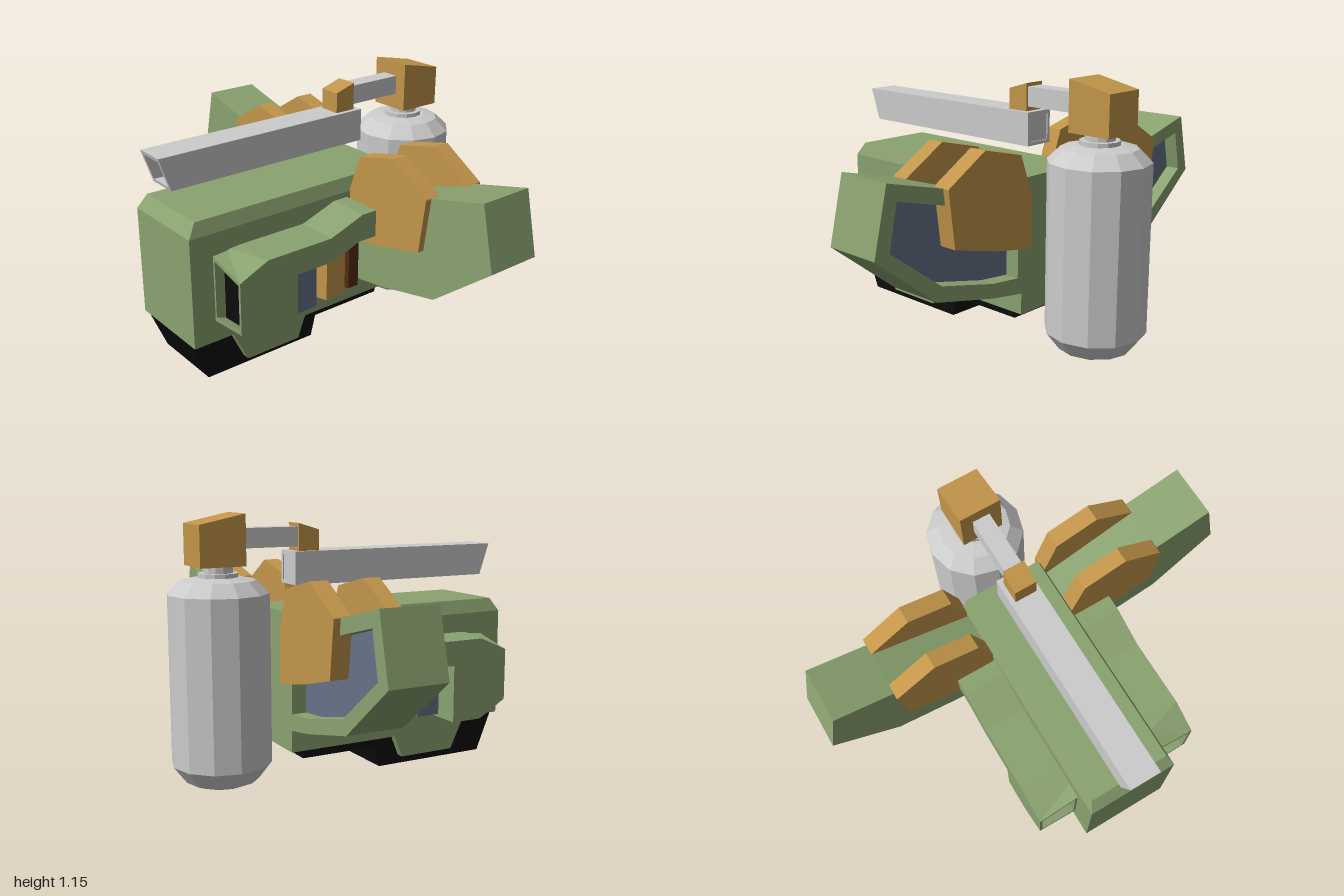
import * as THREE from 'three';

const mat = (color) => new THREE.MeshStandardMaterial({ color, flatShading: true });
const green = mat(0x8aa270), orange = mat(0xc2954a), blue = mat(0x667288);
const brown = mat(0x522c14), black = mat(0x0c0c0c), grey = mat(0xcccccc);

const points = (pts) => pts.map(([a, b]) => new THREE.Vector2(a, b));

// Extrude an (x, y) outline from z0 to z1, with an optional hole
function extrudeZ(pts, z0, z1, hole) {
  const shape = new THREE.Shape(points(pts));
  if (hole) shape.holes.push(new THREE.Path(points(hole)));
  return new THREE.ExtrudeGeometry(shape, { depth: z1 - z0, bevelEnabled: false }).translate(0, 0, z0);
}

// Extrude a (z, y) side outline from x0 to x1
const extrudeX = (pts, x0, x1) => extrudeZ(pts, 0, x1 - x0).rotateY(-Math.PI / 2).translate(x1, 0, 0);

// Move every vertex by a rule
function reshape(geo, rule) {
  const p = geo.attributes.position, v = new THREE.Vector3();
  for (let i = 0; i < p.count; i++) {
    rule(v.fromBufferAttribute(p, i));
    p.setXYZ(i, v.x, v.y, v.z);
  }
  geo.computeVertexNormals();
  return geo;
}

// Mirror across x = 0 and restore the winding
function mirrored(source) {
  const geo = source.index ? source.toNonIndexed() : source.clone();
  const p = geo.attributes.position, a = new THREE.Vector3(), b = new THREE.Vector3();
  geo.scale(-1, 1, 1);
  for (let i = 0; i < p.count; i += 3) {
    a.fromBufferAttribute(p, i + 1);
    b.fromBufferAttribute(p, i + 2);
    p.setXYZ(i + 1, b.x, b.y, b.z);
    p.setXYZ(i + 2, a.x, a.y, a.z);
  }
  geo.computeVertexNormals();
  return geo;
}

// Pod nose narrows in height towards the front, more on the outer side
function podNose(v) {
  const t = THREE.MathUtils.clamp((v.z - 0.51) / 0.135, 0, 1);
  const s = THREE.MathUtils.clamp((v.x - 0.2) / 0.193, 0, 1);
  const low = THREE.MathUtils.lerp(0.29, 0.31, s), high = THREE.MathUtils.lerp(0.59, 0.54, s);
  const target = low + (high - low) * (v.y - 0.235) / 0.365;
  v.y = THREE.MathUtils.lerp(v.y, target, t);
}

// Block on the hull side whose outer face is smaller
function sideBlock(pts, x1) {
  const n = pts.length;
  const cz = pts.reduce((s, p) => s + p[0], 0) / n, cy = pts.reduce((s, p) => s + p[1], 0) / n;
  return reshape(extrudeX(pts, 0.19, x1), (v) => {
    if (v.x < x1 - 0.01) return;
    v.z = cz + (v.z - cz) * 0.72;
    v.y = cy + (v.y - cy) * 0.84;
  });
}

export function createModel() {
  const model = new THREE.Group();
  const add = (name, geo, material) => {
    const mesh = new THREE.Mesh(geo, material);
    mesh.name = name;
    model.add(mesh);
  };
  const addPair = (name, geo, material) => {
    add(name + 'Left', geo, material);
    add(name + 'Right', mirrored(geo), material);
  };

  // Hull with a chamfered deck
  add('hull', extrudeX([[0.75, 0.685], [0.75, 0.195], [0.56, 0.195], [0.49, 0.05], [0.22, 0.05],
    [0.18, 0.15], [-0.335, 0.15], [-0.335, 0.685]], -0.205, 0.205), green);
  add('deck', reshape(new THREE.BoxGeometry(0.41, 0.06, 1.085).translate(0, 0.715, 0.2075), (v) => {
    if (v.y < 0.72) return;
    v.x *= 0.9;
    if (v.z > 0) v.z = 0.71;
  }), green);
  add('undercarriage', extrudeX([[0.748, 0.197], [0.67, 0.01], [0.12, 0.01], [0.095, 0.105],
    [-0.265, 0.105], [-0.28, 0.16], [0.17, 0.16], [0.2, 0.197]], -0.17, 0.17), black);

  // Side pods, each with a framed dark opening
  addPair('pod', reshape(extrudeX([[0.57, 0.6], [0.51, 0.6], [0.19, 0.6], [0.02, 0.66], [-0.055, 0.66],
    [-0.055, 0.54], [0.04, 0.54], [0.17, 0.49], [0.365, 0.49], [0.365, 0.235], [0.51, 0.235],
    [0.57, 0.235]], 0.19, 0.393), podNose), green);
  addPair('podFrame', reshape(extrudeZ([[0.19, 0.235], [0.393, 0.235], [0.393, 0.6], [0.19, 0.6]], 0.57, 0.645,
    [[0.215, 0.26], [0.215, 0.575], [0.38, 0.575], [0.38, 0.26]]), podNose), green);
  addPair('podOpening', reshape(extrudeZ([[0.21, 0.25], [0.385, 0.25], [0.385, 0.585], [0.21, 0.585]],
    0.56, 0.6), podNose), black);

  // Blocks sheltered under the pods
  addPair('blueBlock', sideBlock([[0.35, 0.245], [0.35, 0.49], [0.195, 0.49], [0.195, 0.245]], 0.33), blue);
  addPair('orangeBlock', sideBlock([[0.18, 0.255], [0.18, 0.485], [0.04, 0.525], [0.04, 0.255]], 0.33), orange);
  addPair('brownBlock', sideBlock([[0.03, 0.255], [0.03, 0.525], [-0.045, 0.53], [-0.045, 0.255]], 0.31), brown);

  // Wings with a recessed panel at the back
  const wing = [[0.19, 0.25], [0.39, 0.28], [0.705, 0.35], [1, 0.585], [0.935, 0.86], [0.66, 0.79], [0.19, 0.64]];
  const recess = [[0.25, 0.33], [0.4, 0.345], [0.68, 0.41], [0.93, 0.6], [0.89, 0.785], [0.66, 0.725], [0.25, 0.59]];
  addPair('wing', extrudeZ(wing, -0.28, -0.1), green);
  addPair('wingRim', extrudeZ(wing, -0.355, -0.28, recess), green);
  addPair('wingPanel', extrudeZ(recess, -0.29, -0.275), blue);

  // Armour plates in front of and behind each wing
  const plate = [[0.2, 0.455], [0.4, 0.49], [0.635, 0.55], [0.665, 0.79], [0.63, 0.825],
    [0.47, 0.91], [0.265, 0.86], [0.2, 0.68]];
  plate[4] = [0.66, 0.795];
  addPair('frontPlate', extrudeZ(plate, -0.145, -0.07), orange);
  addPair('rearPlate', extrudeZ(plate, -0.385, -0.305), orange);

  // Square barrel, open at its slanted muzzle
  const square = (h, y0, y1) => [[-h, y0], [h, y0], [h, y1], [-h, y1]];
  add('barrel', reshape(extrudeZ(square(0.07, 0.845, 0.99), -0.245, 0.787, square(0.055, 0.86, 0.972)), (v) => {
    if (v.z > 0) v.z -= 0.05 * (0.99 - v.y) / 0.145;
  }), grey);
  add('barrelCore', extrudeZ(square(0.06, 0.855, 0.98), -0.24, 0.55), grey);

  // Feed pipe with its two fittings
  add('feedPipe', new THREE.BoxGeometry(0.08, 0.085, 0.3).translate(0, 1.052, -0.35), grey);
  add('barrelFitting', extrudeX([[-0.12, 0.985], [-0.12, 1.08], [-0.217, 1.11], [-0.217, 0.985]], -0.05, 0.05), orange);
  add('tankFitting', extrudeX([[-0.483, 0.94], [-0.483, 1.157], [-0.685, 1.115], [-0.685, 0.94]], -0.095, 0.095), orange);

  // Faceted tank
  add('tank', new THREE.LatheGeometry(points([[0, 0.003], [0.12, 0.003], [0.16, 0.02], [0.217, 0.095],
    [0.217, 0.825], [0.16, 0.88], [0.1, 0.892], [0.085, 0.892], [0.085, 0.91], [0.063, 0.91],
    [0.063, 0.945], [0, 0.945]]), 12).translate(0, 0, -0.572), grey);

  return model;
}
